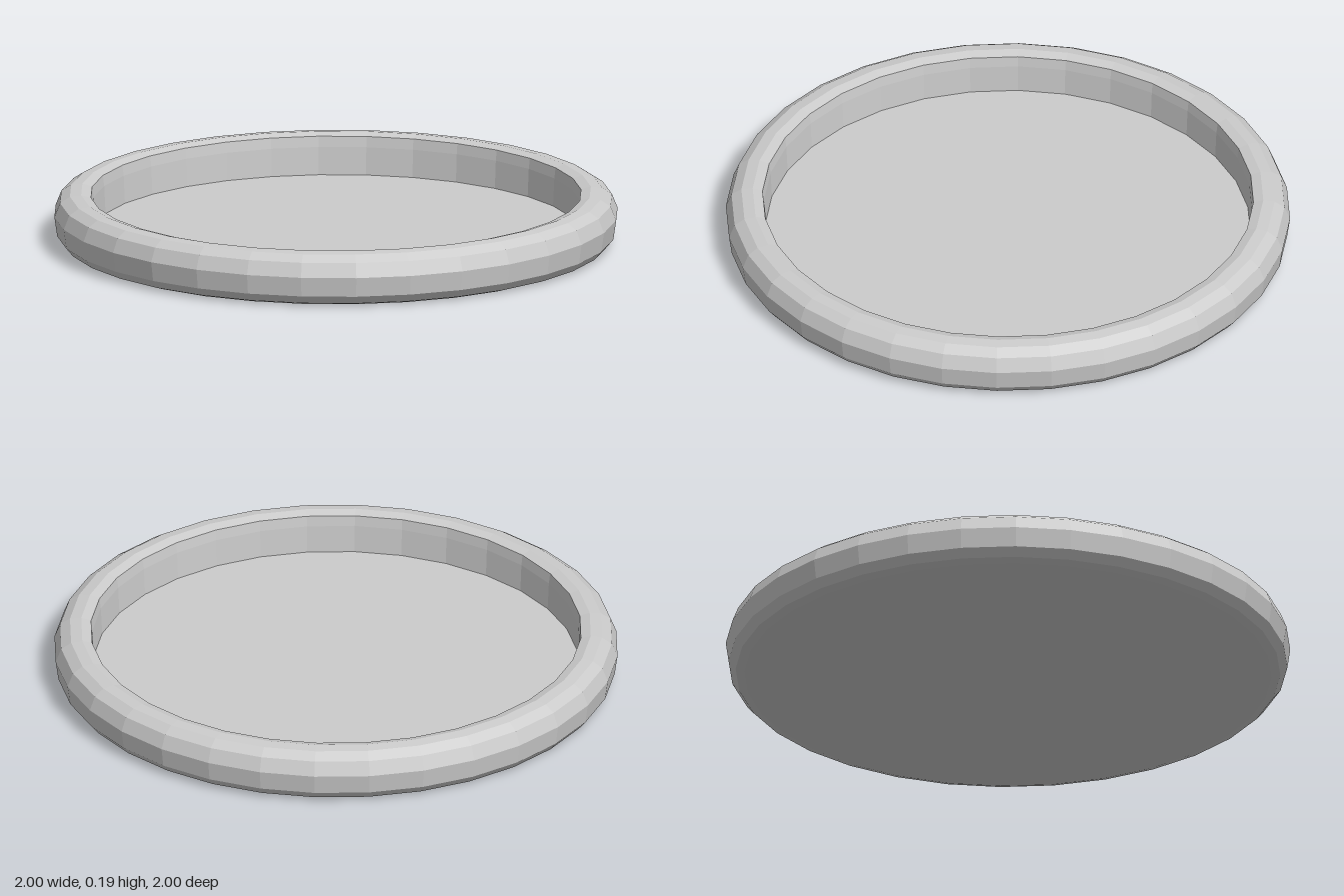
import * as THREE from 'three';

const SIDES = 32;

// Flat-shaded body of revolution; profile runs anticlockwise, bottom to top
function turned(name, profile) {
  const points = profile.map(([r, y]) => new THREE.Vector2(r, y));
  const material = new THREE.MeshStandardMaterial({ color: 0xcccccc, flatShading: true });
  const mesh = new THREE.Mesh(new THREE.LatheGeometry(points, SIDES), material);
  mesh.name = name;
  return mesh;
}

export function createModel() {
  const model = new THREE.Group();
  model.name = 'roundTray';

  // Flat underside
  model.add(turned('base', [[0, 0], [0.935, 0]]));

  // Rounded outer rim, rolling over the crest to the inner edge
  model.add(turned('rim', [
    [0.935, 0], [0.965, 0.01], [0.99, 0.04], [1, 0.11],
    [0.98, 0.16], [0.945, 0.183], [0.905, 0.188], [0.87, 0.178],
  ]));

  // Steep inner wall, slightly tapered
  model.add(turned('innerWall', [[0.87, 0.178], [0.865, 0.14], [0.86, 0.04]]));

  // Recessed floor
  model.add(turned('floor', [[0.86, 0.04], [0, 0.04]]));

  return model;
}
